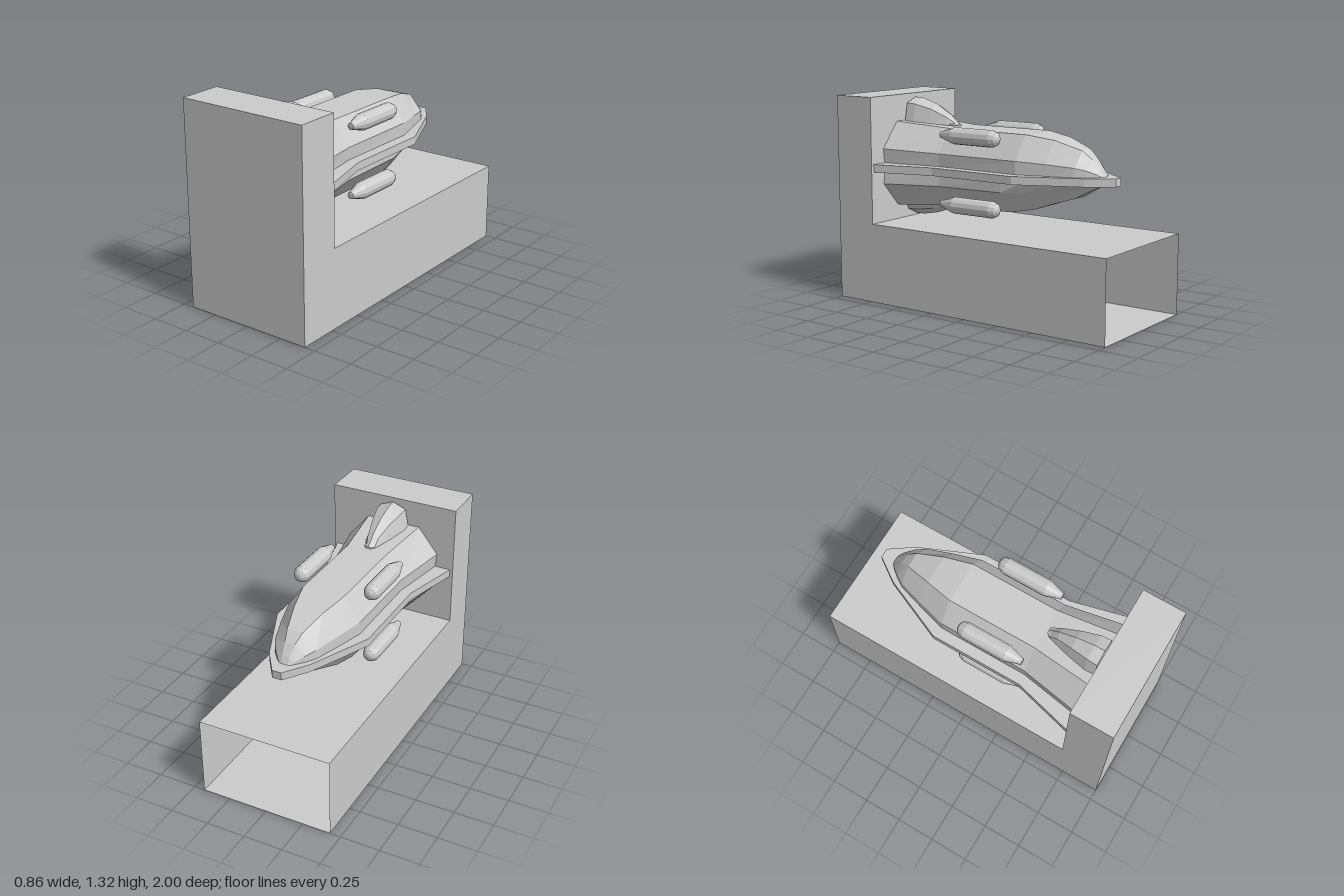
import * as THREE from 'three';

const grey = new THREE.MeshStandardMaterial({ color: 0xcccccc, flatShading: true });
const open = new THREE.MeshStandardMaterial({ color: 0xcccccc, flatShading: true, side: THREE.DoubleSide });

function add(parent, name, geometry, material = grey) {
  const mesh = new THREE.Mesh(geometry, material);
  mesh.name = name;
  parent.add(mesh);
  return mesh;
}

function fromTriangles(points) {
  const g = new THREE.BufferGeometry().setFromPoints(points);
  g.computeVertexNormals();
  return g;
}

// Capped skin over mirrored sections; each is [z, [x, y], ...], right half from bottom to top, z falling
function loft(sections) {
  const rings = sections.map(([z, ...half]) => [
    ...half.map(([x, y]) => new THREE.Vector3(x, y, z)),
    ...half.slice().reverse().map(([x, y]) => new THREE.Vector3(-x, y, z)),
  ]);
  const n = rings[0].length, tris = [];
  for (let i = 0; i < rings.length - 1; i++) {
    const a = rings[i], b = rings[i + 1];
    for (let j = 0; j < n; j++) {
      const k = (j + 1) % n;
      tris.push(a[j], b[j], b[k], a[j], b[k], a[k]);
    }
  }
  const first = rings[0], last = rings[rings.length - 1];
  for (let j = 1; j < n - 1; j++) {
    tris.push(first[0], first[j], first[j + 1], last[0], last[j + 1], last[j]);
  }
  return fromTriangles(tris);
}

// L-shaped stand: folded sheet plus two side walls, open at the far end
function makeStand() {
  const stand = new THREE.Group();
  stand.name = 'stand';
  const w = 0.43;
  const profile = [[-1, 0.51], [0.72, 0.51], [0.72, 1.315], [1, 1.315], [1, 0], [-1, 0]];
  const tris = [];
  for (let i = 0; i < profile.length - 1; i++) {
    const [[z0, y0], [z1, y1]] = [profile[i], profile[i + 1]];
    const p = (x, y, z) => new THREE.Vector3(x, y, z);
    tris.push(p(-w, y0, z0), p(-w, y1, z1), p(w, y1, z1), p(-w, y0, z0), p(w, y1, z1), p(w, y0, z0));
  }
  add(stand, 'standShell', fromTriangles(tris), open);
  const side = new THREE.Shape(profile.map(([z, y]) => new THREE.Vector2(-z, y)));
  for (const s of [1, -1]) {
    const wall = add(stand, s > 0 ? 'standLeftSide' : 'standRightSide', new THREE.ShapeGeometry(side), open);
    wall.rotation.y = Math.PI / 2;
    wall.position.x = s * w;
  }
  return stand;
}

// Hulls above and below the deck plate
function makeHull() {
  const hull = new THREE.Group();
  hull.name = 'hull';
  add(hull, 'upperHull', loft([
    // z, deck edge, shoulder, roof edge
    [0.72, [0.305, 0.88], [0.315, 0.98], [0.18, 1.145]],
    [0.33, [0.24, 0.88], [0.245, 0.97], [0.135, 1.12]],
    [-0.25, [0.24, 0.88], [0.24, 0.97], [0.135, 1.12]],
    [-0.43, [0.19, 0.88], [0.19, 0.96], [0.095, 1.095]],
    [-0.6, [0.138, 0.88], [0.135, 0.945], [0.05, 1.04]],
    [-0.66, [0.1, 0.88], [0.098, 0.93], [0.033, 0.99]],
    [-0.71, [0.058, 0.88], [0.055, 0.905], [0.022, 0.93]],
    [-0.735, [0.035, 0.88], [0.03, 0.885], [0.02, 0.89]],
  ]));
  add(hull, 'lowerHull', loft([
    // z, keel edge, shoulder, deck edge
    [0.72, [0.18, 0.603], [0.315, 0.755], [0.305, 0.85]],
    [0.33, [0.135, 0.63], [0.245, 0.765], [0.24, 0.85]],
    [-0.14, [0.135, 0.635], [0.24, 0.77], [0.24, 0.85]],
    [-0.3, [0.115, 0.665], [0.2, 0.775], [0.225, 0.85]],
    [-0.43, [0.09, 0.71], [0.15, 0.79], [0.19, 0.85]],
    [-0.56, [0.06, 0.75], [0.1, 0.805], [0.15, 0.85]],
    [-0.64, [0.035, 0.795], [0.06, 0.82], [0.11, 0.85]],
    [-0.73, [0.015, 0.84], [0.02, 0.843], [0.035, 0.85]],
  ]));
  // Flat plate running all round the waist
  const edge = [[0.41, 0.72], [0.31, 0.33], [0.31, -0.27], [0.135, -0.67], [0.03, -0.82]];
  const outline = new THREE.Shape([
    ...edge.map(([x, z]) => new THREE.Vector2(x, -z)),
    ...edge.slice().reverse().map(([x, z]) => new THREE.Vector2(-x, -z)),
  ]);
  const plate = new THREE.ExtrudeGeometry(outline, { depth: 0.05, bevelEnabled: false });
  plate.rotateX(-Math.PI / 2).translate(0, 0.84, 0);
  add(hull, 'deckPlate', plate);
  return hull;
}

// Streamlined humps at the rear, above and below
function makeFins() {
  const fins = new THREE.Group();
  fins.name = 'fins';
  // z, half width, shoulder half width, shoulder height, ridge height
  const rows = [
    [0.71, 0.112, 0.088, 0.125, 0.16],
    [0.645, 0.112, 0.085, 0.122, 0.157],
    [0.53, 0.085, 0.062, 0.092, 0.122],
    [0.42, 0.053, 0.038, 0.042, 0.062],
    [0.37, 0.035, 0.02, 0.008, 0.018],
    [0.35, 0.018, 0.01, 0.002, 0.005],
  ];
  add(fins, 'topFin', loft(rows.map(([z, b, s, h, r]) =>
    [z, [b, 1.08], [b, 1.13], [s, 1.13 + h], [0, 1.13 + r]])));
  add(fins, 'bottomFin', loft(rows.map(([z, b, s, h, r]) =>
    [z, [0, 0.62 - r * 0.62], [s, 0.62 - h * 0.45], [b, 0.63], [b, 0.67]])));
  return fins;
}

// Four booster pods: round nose, straight body, tapered tail
function makePods() {
  const pods = new THREE.Group();
  pods.name = 'pods';
  const profile = [[0, -0.13], [0.02, -0.126], [0.04, -0.112], [0.053, -0.08],
    [0.053, 0.205], [0.025, 0.29], [0.022, 0.308], [0, 0.31]];
  const geometry = new THREE.LatheGeometry(profile.map(([r, z]) => new THREE.Vector2(r, z)), 12);
  geometry.rotateX(Math.PI / 2);
  for (const x of [-0.238, 0.238]) {
    for (const y of [0.658, 1.092]) {
      const name = (y > 1 ? 'upper' : 'lower') + (x > 0 ? 'Left' : 'Right') + 'Pod';
      add(pods, name, geometry).position.set(x, y, 0);
    }
  }
  return pods;
}

export function createModel() {
  const model = new THREE.Group();
  model.name = 'shuttleOnStand';
  model.add(makeStand(), makeHull(), makeFins(), makePods());
  return model;
}
